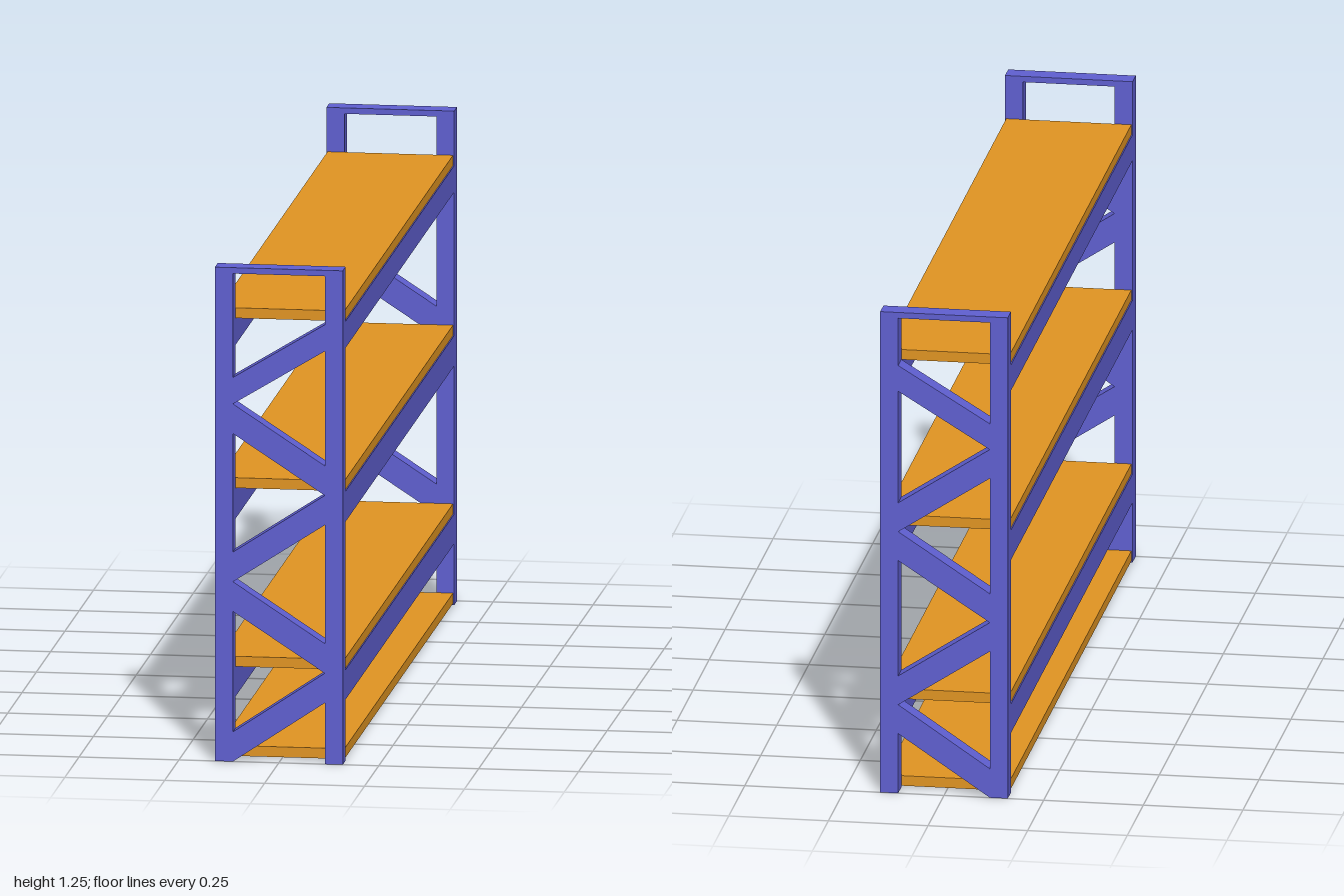
import * as THREE from 'three';

const BLUE = new THREE.MeshStandardMaterial({ color: 0x5f5fd0 });
const ORANGE = new THREE.MeshStandardMaterial({ color: 0xe09422 });

const HALF_W = 0.16, POST = 0.045, HEIGHT = 1.25;
const HALF_L = 1, DEPTH = 0.05;
const INNER = HALF_W - POST;
const SPAN = 2 * (HALF_L - DEPTH);

function box(name, material, w, y0, y1, d, x = 0, z = 0) {
  const mesh = new THREE.Mesh(new THREE.BoxGeometry(w, y1 - y0, d), material);
  mesh.position.set(x, (y0 + y1) / 2, z);
  mesh.name = name;
  return mesh;
}

// Slanted brace with vertical ends, flush against both posts
function brace(yLeft, yRight, h) {
  const shape = new THREE.Shape([
    new THREE.Vector2(-INNER, yLeft),
    new THREE.Vector2(INNER, yRight),
    new THREE.Vector2(INNER, yRight + h),
    new THREE.Vector2(-INNER, yLeft + h),
  ]);
  const geo = new THREE.ExtrudeGeometry(shape, { depth: DEPTH, bevelEnabled: false });
  geo.translate(0, 0, -DEPTH / 2);
  const mesh = new THREE.Mesh(geo, BLUE);
  mesh.name = 'diagonalBrace';
  return mesh;
}

// End frame: two posts, a top rail and a zigzag of braces
function endFrame(name, z) {
  const frame = new THREE.Group();
  frame.name = name;
  for (const s of [-1, 1]) {
    frame.add(box('post', BLUE, POST, 0, HEIGHT, DEPTH, s * (HALF_W - POST / 2)));
  }
  frame.add(box('topRail', BLUE, 2 * INNER, 1.235, HEIGHT, DEPTH));
  const braces = [
    [0, 0.155, 0.075], [0.38, 0.23, 0.075], [0.455, 0.605, 0.075],
    [0.83, 0.68, 0.075], [0.905, 1.045, 0.067],
  ];
  for (const b of braces) frame.add(brace(...b));
  frame.position.z = z;
  return frame;
}

export function createModel() {
  const model = new THREE.Group();
  model.name = 'shelvingRack';
  model.add(endFrame('frontFrame', HALF_L - DEPTH / 2));
  model.add(endFrame('backFrame', -HALF_L + DEPTH / 2));

  // Long beams under the three upper shelves
  for (const [y0, y1] of [[0.155, 0.23], [0.605, 0.682], [1.045, 1.112]]) {
    for (const s of [-1, 1]) {
      model.add(box('beam', BLUE, POST, y0, y1, SPAN, s * (HALF_W - POST / 2)));
    }
  }

  // Shelf boards
  for (const y of [0.004, 0.23, 0.682, 1.112]) {
    model.add(box('shelf', ORANGE, 0.314, y, y + 0.026, SPAN));
  }
  return model;
}
